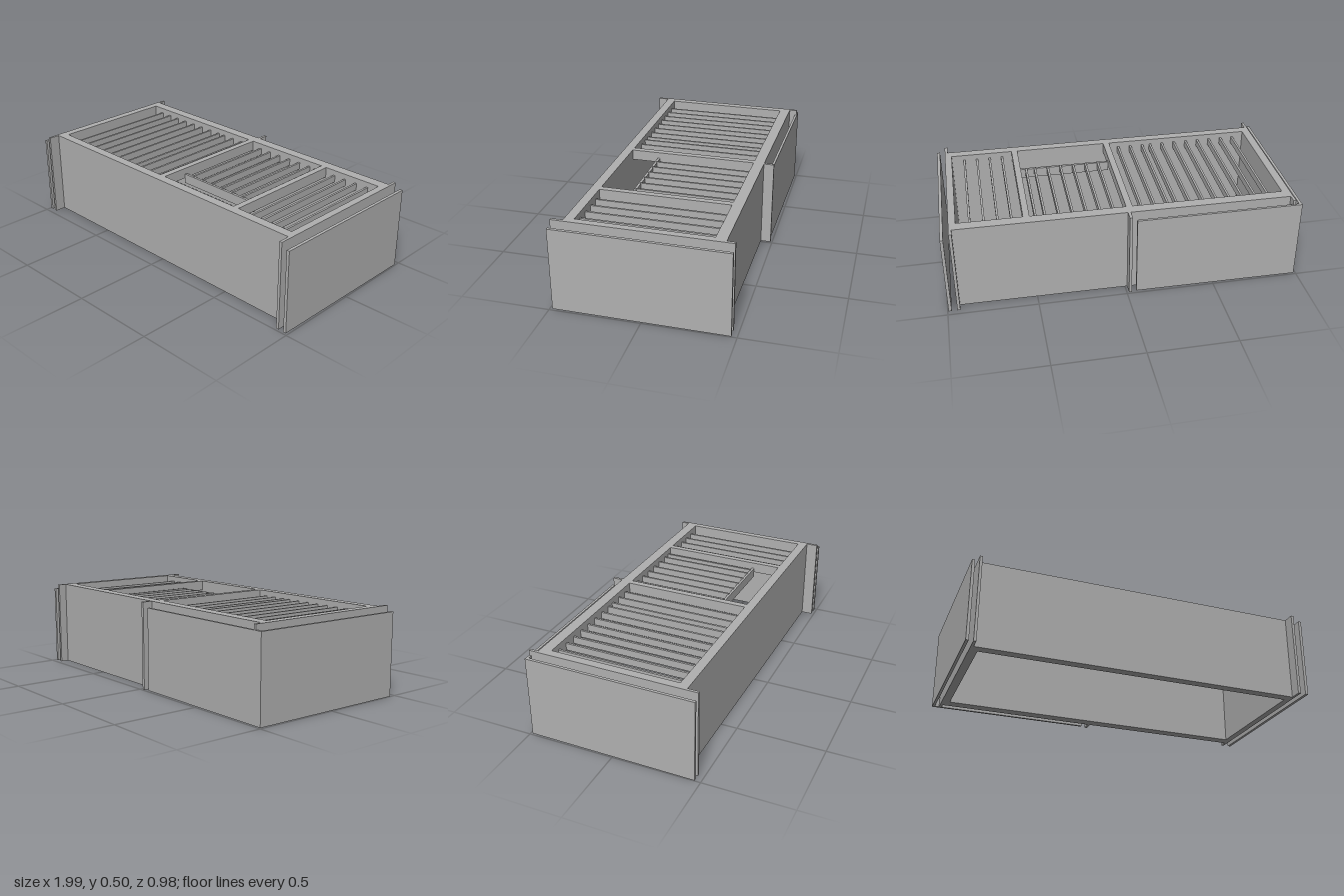
import * as THREE from 'three';

export function createModel() {
  const model = new THREE.Group();
  model.name = 'buildingFrame';
  const plaster = new THREE.MeshStandardMaterial({ color: 0xb0b0b0 });
  plaster.name = 'plaster grey';

  // Axis-aligned block given by its limits on x, y and z
  const block = (name, x0, x1, y0, y1, z0, z1) => {
    const mesh = new THREE.Mesh(new THREE.BoxGeometry(x1 - x0, y1 - y0, z1 - z0), plaster);
    mesh.position.set((x0 + x1) / 2, (y0 + y1) / 2, (z0 + z1) / 2);
    mesh.name = name;
    model.add(mesh);
  };

  const H = 0.5, LOW = 0.47;
  const BACK = -0.371, FRONT = 0.36;

  // Main walls
  block('frontWall', -0.938, 0.927, 0, H, FRONT, 0.412);
  block('backWall', -0.938, 0.927, 0, H, -0.432, BACK);
  block('rightWall', -0.938, -0.907, 0, H, BACK, FRONT);
  block('leftWall', 0.904, 0.927, 0, H, BACK, FRONT);

  // Thin party walls running past the corners
  block('rightPartyWall', -0.953, -0.938, 0, H, -0.478, 0.475);
  block('leftPartyWall', 0.927, 0.943, 0, H, -0.478, 0.478);

  // Lower neighbouring panels standing clear of the walls
  block('rightOuterPanel', -0.993, -0.977, 0, LOW, -0.481, 0.475);
  block('leftOuterPanel', 0.974, 0.991, 0, LOW, -0.478, 0.478);
  block('backOuterPanel', -0.977, -0.06, 0, LOW, -0.481, -0.467);
  block('backFin', -0.032, -0.016, 0, H, -0.49, -0.432);

  // Cross beams and the trimmer around the stair opening
  block('crossBeam', -0.053, -0.017, 0.44, H, BACK, FRONT);
  block('crossBeam', 0.511, 0.546, 0.44, H, BACK, FRONT);
  block('trimmer', -0.017, 0.511, 0.41, 0.465, 0.19, 0.205);

  // Joists of the three bays
  const joists = (xs, zEnd) => xs.forEach((x) =>
    block('joist', x - 0.006, x + 0.006, 0.43, 0.47, BACK, zEnd));
  joists([-0.84, -0.765, -0.69, -0.615, -0.54, -0.465, -0.387, -0.312, -0.262, -0.187, -0.112], FRONT);
  joists([0.045, 0.12, 0.195, 0.271, 0.347, 0.423, 0.475], 0.195);
  joists([0.605, 0.68, 0.755, 0.831], FRONT);

  // The whole plan is turned very slightly
  model.rotation.y = -0.0085;
  const root = new THREE.Group();
  root.name = 'model';
  root.add(model);
  return root;
}
